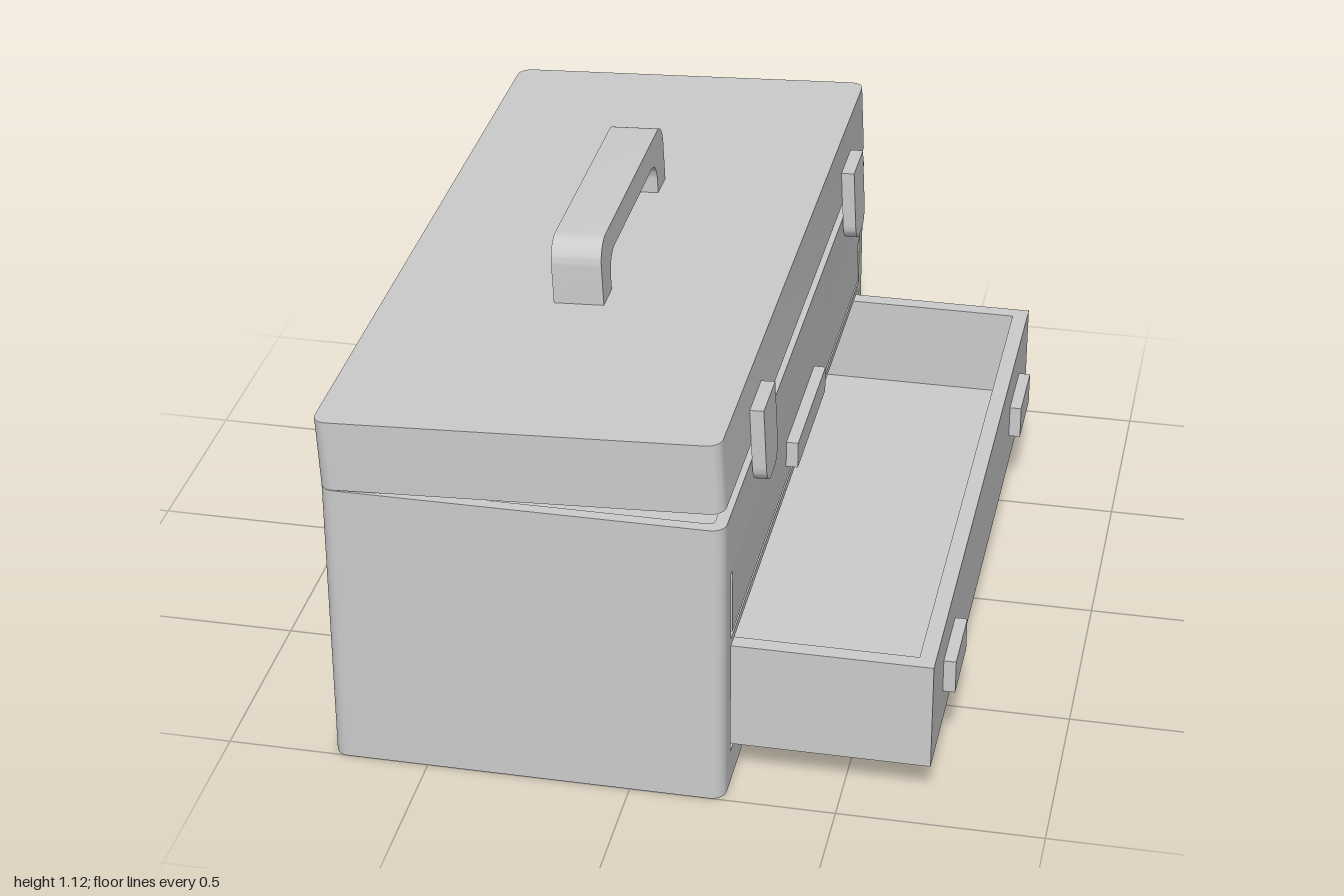
import * as THREE from 'three';
import { toCreasedNormals } from 'three/addons/utils/BufferGeometryUtils.js';

const BACK = -0.735, FRONT = 0.23, HALF = 1, R = 0.035;
const material = new THREE.MeshStandardMaterial({ color: 0xcccccc });

function add(parent, name, geometry, x = 0, y = 0, z = 0) {
  const mesh = new THREE.Mesh(geometry, material);
  mesh.name = name;
  mesh.position.set(x, y, z);
  parent.add(mesh);
  return mesh;
}

// Box given by its min and max corners
function block(parent, name, [x0, x1], [y0, y1], [z0, z1]) {
  return add(parent, name, new THREE.BoxGeometry(x1 - x0, y1 - y0, z1 - z0),
    (x0 + x1) / 2, (y0 + y1) / 2, (z0 + z1) / 2);
}

// Footprint with rounded corners; notch cuts a drawer bay in from the front
function footprint(x0, x1, half, r, notch) {
  const s = new THREE.Shape();
  s.moveTo(x0 + r, -half);
  s.lineTo(x1 - r, -half);
  s.absarc(x1 - r, -half + r, r, -Math.PI / 2, 0);
  if (notch) {
    s.lineTo(x1, -notch.half);
    s.lineTo(notch.back, -notch.half);
    s.lineTo(notch.back, notch.half);
    s.lineTo(x1, notch.half);
  }
  s.absarc(x1 - r, half - r, r, 0, Math.PI / 2);
  s.absarc(x0 + r, half - r, r, Math.PI / 2, Math.PI);
  s.absarc(x0 + r, -half + r, r, Math.PI, Math.PI * 1.5);
  return s;
}

function extrude(shape, depth) {
  return new THREE.ExtrudeGeometry(shape, { depth, bevelEnabled: false, curveSegments: 6 });
}

// Extrusion standing upright from y = 0
function slab(shape, height) {
  return toCreasedNormals(extrude(shape, height).rotateX(-Math.PI / 2), 0.6);
}

// Extrusion of a (z, y) profile along x
function profileAlongX(shape, depth) {
  return toCreasedNormals(extrude(shape, depth).rotateY(-Math.PI / 2).translate(depth, 0, 0), 0.6);
}

// Open tray with walls, floor and pull grips
function drawer(name, front, y0, y1, grips) {
  const g = new THREE.Group();
  g.name = name;
  const t = 0.04, back = front - 0.9, w = 0.9;
  block(g, 'drawerFloor', [back, front], [y0, y0 + t], [-w, w]);
  block(g, 'drawerFront', [front - t, front], [y0 + t, y1], [-w, w]);
  block(g, 'drawerBack', [back, back + t], [y0 + t, y1], [-w, w]);
  for (const s of [-1, 1]) {
    block(g, 'drawerSide', [back + t, front - t], [y0 + t, y1],
      s > 0 ? [w - t, w] : [-w, t - w]);
  }
  for (const { z, y } of grips) block(g, 'drawerGrip', [front, front + 0.03], y, z);
  return g;
}

export function createModel() {
  const model = new THREE.Group();
  model.name = 'toolbox';

  // Case in stacked layers: solid decks, two drawer bays, open top compartment
  const bay = { half: 0.917, back: -0.695 };
  const rim = footprint(BACK, FRONT, HALF, R);
  rim.holes.push(new THREE.Path(footprint(BACK + 0.03, FRONT - 0.03, HALF - 0.03, 0.015).getPoints(4)));
  const solid = footprint(BACK, FRONT, HALF, R);
  const notched = footprint(BACK, FRONT, HALF, R, bay);
  const layers = [
    ['caseBase', solid, 0, 0.085],
    ['lowerDrawerBay', notched, 0.085, 0.385],
    ['middleDeck', solid, 0.385, 0.405],
    ['upperDrawerBay', notched, 0.405, 0.585],
    ['upperDeck', solid, 0.585, 0.605],
    ['topCompartment', rim, 0.605, 0.75],
  ];
  for (const [name, shape, y0, y1] of layers) add(model, name, slab(shape, y1 - y0), 0, y0);

  // Drawers: the lower one pulled out, the upper one shut
  model.add(drawer('lowerDrawer', 0.71, 0.095, 0.375, [
    { z: [0.525, 0.718], y: [0.19, 0.277] },
    { z: [-0.718, -0.525], y: [0.19, 0.277] },
  ]));
  model.add(drawer('upperDrawer', FRONT, 0.415, 0.585, [{ z: [-0.2, 0.2], y: [0.46, 0.53] }]));

  // Lid hinged on the back edge, slightly ajar
  const lid = new THREE.Group();
  lid.name = 'lid';
  lid.position.set(BACK, 0.75, 0);
  lid.rotation.z = 0.0466;
  model.add(lid);
  const length = FRONT - BACK, lidHeight = 0.18;
  add(lid, 'lidShell', slab(footprint(0, length, HALF, R), lidHeight));

  // Carry handle: arch with rounded shoulders
  const arch = new THREE.Shape();
  const w = 0.357, h = 0.163, ro = 0.06, wi = 0.27, hi = 0.093, ri = 0.055;
  arch.moveTo(-w, -0.005);
  arch.lineTo(-wi, -0.005);
  arch.lineTo(-wi, hi - ri);
  arch.absarc(-wi + ri, hi - ri, ri, Math.PI, Math.PI / 2, true);
  arch.absarc(wi - ri, hi - ri, ri, Math.PI / 2, 0, true);
  arch.lineTo(wi, -0.005);
  arch.lineTo(w, -0.005);
  arch.absarc(w - ro, h - ro, ro, 0, Math.PI / 2);
  arch.absarc(-w + ro, h - ro, ro, Math.PI / 2, Math.PI);
  add(lid, 'carryHandle', profileAlongX(arch, 0.125), 0.423, lidHeight);

  // Latches hanging from the lid, rounded at the bottom
  const tongue = new THREE.Shape();
  const lw = 0.073, lr = 0.05, top = 0.09, bottom = -0.115;
  tongue.moveTo(lw, top);
  tongue.lineTo(-lw, top);
  tongue.absarc(-lw + lr, bottom + lr, lr, Math.PI, Math.PI * 1.5);
  tongue.absarc(lw - lr, bottom + lr, lr, Math.PI * 1.5, Math.PI * 2);
  for (const z of [0.597, -0.69]) add(lid, 'latch', profileAlongX(tongue, 0.034), length, 0, z);

  return model;
}
